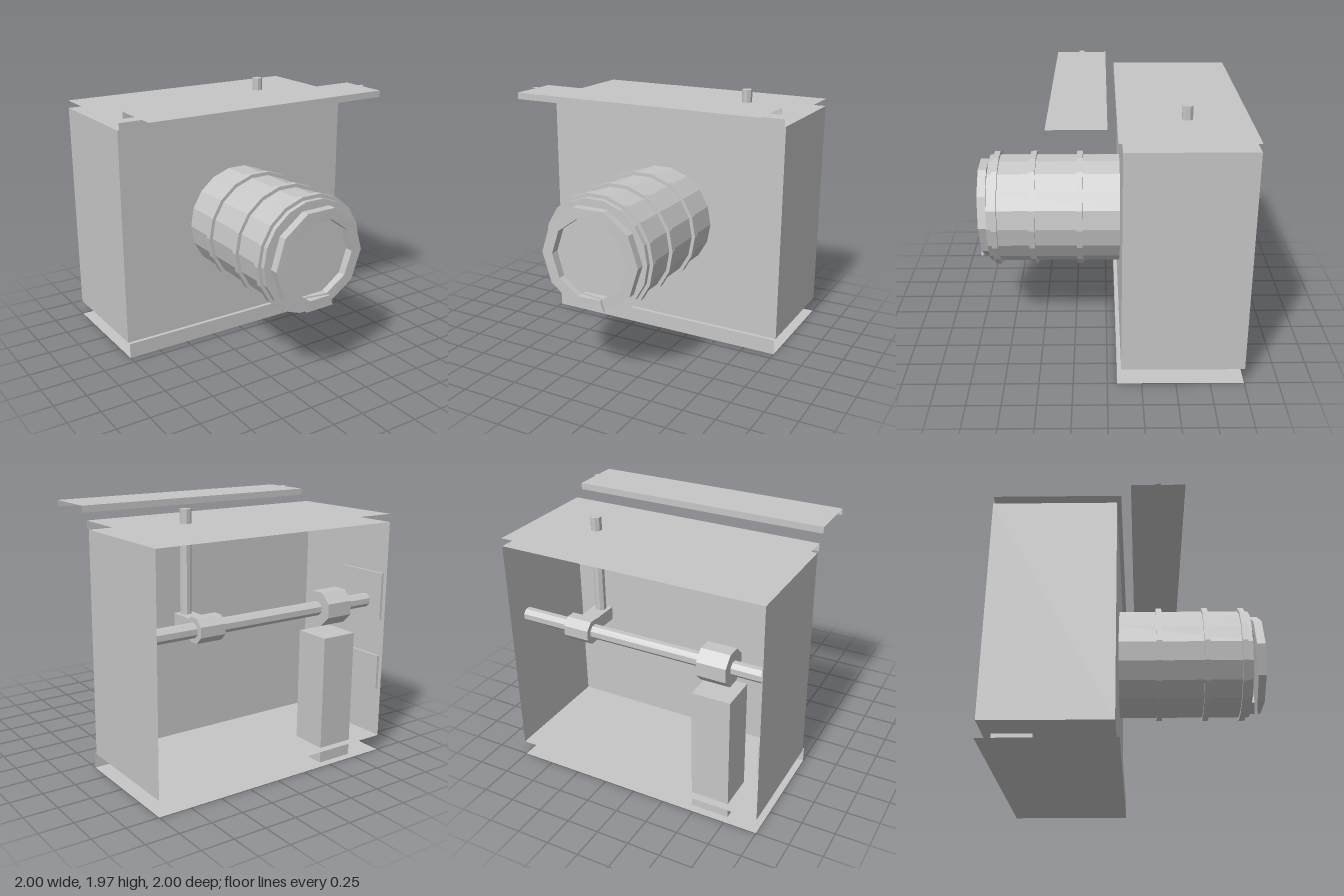
import * as THREE from 'three';

const gray = new THREE.MeshStandardMaterial({ color: 0xc6c6c6, flatShading: true, side: THREE.DoubleSide });
gray.name = 'plain gray';

export function createModel() {
  const model = new THREE.Group();
  model.name = 'cameraBox';

  const add = (name, geo, x = 0, y = 0, z = 0, parent = model) => {
    const mesh = new THREE.Mesh(geo, gray);
    mesh.name = name;
    mesh.position.set(x, y, z);
    parent.add(mesh);
    return mesh;
  };
  const group = (name) => {
    const g = new THREE.Group();
    g.name = name;
    model.add(g);
    return g;
  };
  // Thin sheets: upright facing z, upright facing x, and lying flat
  const sheetZ = (w, h) => new THREE.PlaneGeometry(w, h);
  const sheetX = (d, h) => new THREE.PlaneGeometry(d, h).rotateY(Math.PI / 2);
  const sheetY = (w, d) => new THREE.PlaneGeometry(w, d).rotateX(-Math.PI / 2);
  // Prisms along z and x
  const tubeZ = (r, len, sides) =>
    new THREE.CylinderGeometry(r, r, len, sides, 1, false, Math.PI / 2).rotateX(Math.PI / 2);
  const tubeX = (r, len, sides) =>
    new THREE.CylinderGeometry(r, r, len, sides, 1, false, Math.PI / sides).rotateZ(Math.PI / 2);

  // Housing, open at the back
  const housing = group('housing');
  add('frontWall', sheetZ(2, 1.68), 0, 0.96, -0.1, housing);
  for (const s of [1, -1]) add(s > 0 ? 'leftWall' : 'rightWall', sheetX(0.9, 1.68), s, 0.96, -0.55, housing);
  add('floor', sheetY(2, 0.9), 0, 0.12, -0.55, housing);
  add('ceiling', sheetY(2, 0.9), 0, 1.8, -0.55, housing);

  // Bent cover plates above and below the housing
  const covers = group('coverPlates');
  add('topCover', sheetY(2, 0.93), 0, 1.86, -0.535, covers);
  add('topCoverLip', sheetZ(2, 0.06), 0, 1.83, -0.07, covers);
  add('bottomCover', sheetY(2, 0.93), 0, 0, -0.535, covers);
  add('bottomCoverLip', sheetZ(2, 0.12), 0, 0.06, -0.07, covers);

  // Open channel rail with a raised centre strip
  const rail = group('topRail');
  add('railTop', sheetY(2, 0.4), 0, 1.955, 0.2, rail);
  add('railStrip', sheetY(2, 0.045), 0, 1.965, 0.198, rail);
  for (const z of [0, 0.4]) add('railLip', sheetZ(2, 0.05), 0, 1.93, z, rail);

  // Barrel with three raised bands
  const barrel = group('barrel');
  add('barrelBody', tubeZ(0.42, 1, 18), 0, 0.965, 0.4, barrel);
  for (const z of [0.203, 0.56, 0.842]) add('barrelBand', tubeZ(0.447, 0.044, 18), 0, 0.965, z, barrel);

  // One-turn spiral thread on the barrel's front end
  add('frontThread', spiralThread(), 0, 0.96, 0, barrel);

  // Cross rod with two collars
  const rodY = 1.18, rodZ = -0.81;
  const linkage = group('rodLinkage');
  add('rod', tubeX(0.053, 1.98, 8), 0, rodY, rodZ, linkage);
  add('smallCollar', tubeX(0.095, 0.2, 8), 0.5, rodY, rodZ, linkage);
  add('largeCollar', tubeX(0.135, 0.22, 8), -0.6, rodY, rodZ, linkage);

  // Upright pin through the top, joined to the small collar by an arm
  add('pin', new THREE.CylinderGeometry(0.04, 0.04, 0.76, 8, 1, false, Math.PI / 8), 0.5, 1.58, -0.56, linkage);
  add('pinArm', new THREE.BoxGeometry(0.13, 0.1, 0.25), 0.5, 1.18, -0.635, linkage);

  // Post beneath the large collar
  add('post', new THREE.BoxGeometry(0.29, 0.98, 0.28), -0.605, 0.49, -0.8);

  // Thin plates on the inside of the right wall
  for (const [y, h] of [[1.23, 0.36], [0.63, 0.27]])
    add('wallPlate', new THREE.BoxGeometry(0.02, h, 0.42), -0.989, y, -0.76);

  return model;
}

// Rectangular section swept once around z while it climbs forward, tapered at both ends
function spiralThread() {
  const sides = 10, steps = 11, pos = [], index = [];
  for (let i = 0; i <= steps; i++) {
    const a = -Math.PI * 0.4 - (i / sides) * Math.PI * 2;
    const t = i / steps;
    const half = i === 0 || i === steps ? 0.008 : 0.032;
    const mid = THREE.MathUtils.lerp(0.985, 0.915, t);
    const z0 = Math.max(0.9, mid - half), z1 = Math.min(1, mid + half);
    for (const [r, z] of [[0.385, z0], [0.385, z1], [0.3, z1], [0.3, z0]])
      pos.push(r * Math.cos(a), r * Math.sin(a), z);
  }
  for (let i = 0; i < steps; i++)
    for (let k = 0; k < 4; k++) {
      const a = i * 4 + k, b = i * 4 + (k + 1) % 4, c = a + 4, d = b + 4;
      index.push(a, b, c, b, d, c);
    }
  const e = steps * 4;
  index.push(0, 2, 1, 0, 3, 2, e, e + 1, e + 2, e, e + 2, e + 3);
  const geo = new THREE.BufferGeometry();
  geo.setAttribute('position', new THREE.Float32BufferAttribute(pos, 3));
  geo.setIndex(index);
  geo.computeVertexNormals();
  return geo;
}
